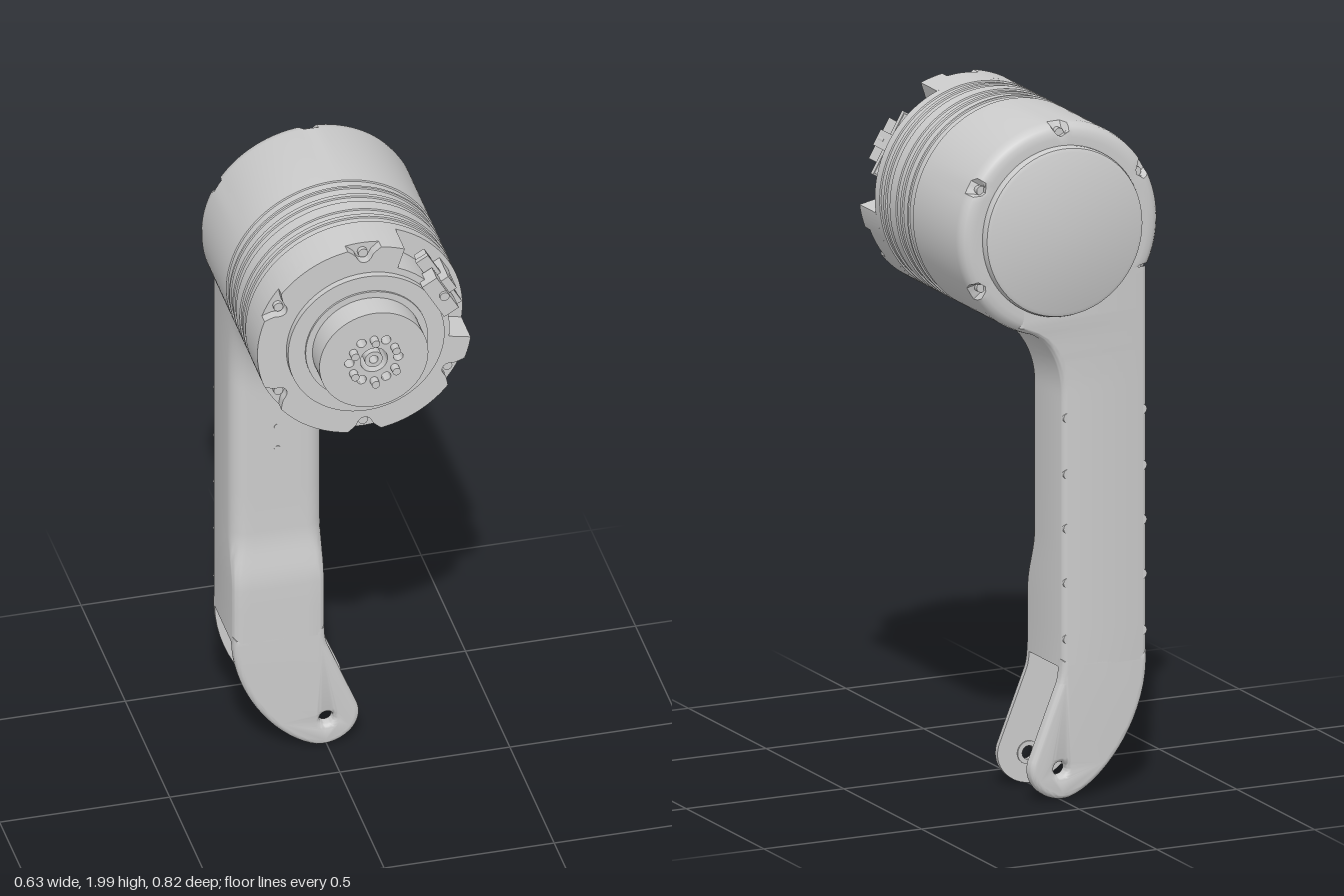
import * as THREE from 'three';
import { toCreasedNormals } from 'three/addons/utils/BufferGeometryUtils.js';

const material = new THREE.MeshStandardMaterial({ color: 0xcccccc });
const AXIS_Y = 1.685, R = 0.315;
const rad = THREE.MathUtils.degToRad;
const clamp = THREE.MathUtils.clamp;

function add(parent, name, geometry, x = 0, y = 0, z = 0) {
  const mesh = new THREE.Mesh(geometry, material);
  mesh.name = name;
  mesh.position.set(x, y, z);
  parent.add(mesh);
  return mesh;
}

// cylinder lying along z
const rod = (r, length, sides = 20) => new THREE.CylinderGeometry(r, r, length, sides).rotateX(Math.PI / 2);

function circlePath(r, x = 0, y = 0) {
  return new THREE.Path().absarc(x, y, r, 0, Math.PI * 2, true);
}

function slab(shape, z0, z1, curveSegments = 24) {
  const g = new THREE.ExtrudeGeometry(shape, { depth: z1 - z0, bevelEnabled: false, curveSegments });
  return toCreasedNormals(g.translate(0, 0, z0), 0.5);
}

// turned motor housing: [radius, z] from the back cap to the front
function housingGeometry() {
  const profile = [
    [0, -0.412], [0.235, -0.412], [0.246, -0.407], [0.25, -0.396], [0.25, -0.385],
    [0.272, -0.385], [0.29, -0.383], [0.303, -0.376], [0.312, -0.364], [0.315, -0.345], [0.315, -0.07],
  ];
  // shallow grooves and raised bands
  for (const [a, b] of [[-0.07, -0.04], [-0.032, 0], [0.014, 0.04], [0.08, 0.106], [0.12, 0.145]])
    profile.push([R, a], [0.311, a + 0.002], [0.311, b - 0.002], [R, b]);
  profile.push([R, 0.176], [0.22, 0.176]);
  const g = new THREE.LatheGeometry(profile.map(([r, z]) => new THREE.Vector2(r, z)), 144).rotateX(Math.PI / 2);
  // six screw pockets cut into the rear edge
  const p = g.attributes.position;
  for (let i = 0; i < p.count; i++) {
    const x = p.getX(i), y = p.getY(i), r = Math.hypot(x, y);
    if (r < 0.28 || p.getZ(i) > -0.35) continue;
    const step = Math.PI / 3;
    const off = Math.abs(((Math.atan2(y, x) + Math.PI * 2 + rad(0)) % step) - step / 2);
    if (off < 0.075) {
      const s = (0.276 + 0.02 * (off / 0.075) ** 2) / r;
      p.setXY(i, x * s, y * s);
    }
  }
  return toCreasedNormals(g, 0.5);
}

// flange outline with the connector cut-out and, optionally, six screw notches
function flangeShape(notched) {
  const points = [];
  for (let deg = 0; deg < 360; deg++) {
    let r = R;
    if (deg < 68 || deg > 352) r = 0.25;
    else if (notched) {
      const off = Math.abs(((deg % 60) - 30)) * rad(1) * 0.29;
      if (off < 0.022) r = 0.288 - Math.sqrt(0.022 ** 2 - off ** 2);
      else if (off < 0.045) r = 0.288 + 0.027 * (off - 0.022) / 0.023;
    }
    points.push(new THREE.Vector2(r * Math.cos(rad(deg)), r * Math.sin(rad(deg))));
  }
  return new THREE.Shape(points);
}

// rounded rectangle in x and z, with the front edge divided for the fillet
function legSection(y) {
  const t = clamp((y - 1.2) / 0.2, 0, 1);
  const xl = -0.275, xr = -0.005 + 0.14 * (1 - Math.sqrt(1 - t * t));
  const up = THREE.MathUtils.smoothstep(y, 0.58, 0.76);
  const zf = -0.14 - 0.025 * up, zb = -0.386, rf = 0.022 + 0.026 * up, rb = 0.024;
  const ring = [];
  const corner = (x, z, r, start) => {
    for (let k = 0; k <= 6; k++) {
      const a = rad(start + k * 15);
      ring.push([x + r * Math.cos(a), z + r * Math.sin(a)]);
    }
  };
  corner(xr - rf, zf - rf, rf, 0);
  for (let k = 1; k < 8; k++) ring.push([xr - rf + (xl - xr + 2 * rf) * k / 8, zf]);
  corner(xl + rf, zf - rf, rf, 90);
  corner(xl + rb, zb + rb, rb, 180);
  corner(xr - rb, zb + rb, rb, 270);
  // the front swells into the housing as it gets close to it
  return ring.map(([x, z]) => {
    const near = clamp(1 - (Math.hypot(x, y - AXIS_Y) - R) / 0.17, 0, 1);
    const weight = clamp((z - zb - rb) / (zf - zb - rb), 0, 1);
    return [x, y, z + weight * 0.08 * (1 - Math.sqrt(1 - near * near))];
  });
}

function legGeometry() {
  const levels = [0.395, 0.5, 0.58];
  for (let y = 0.61; y < 0.77; y += 0.03) levels.push(y);
  levels.push(0.9, 1.05);
  for (let y = 1.15; y < 1.56; y += 0.02) levels.push(y);
  const rings = levels.map(legSection), n = rings[0].length;
  const index = [];
  for (let j = 0; j < rings.length - 1; j++)
    for (let i = 0; i < n; i++) {
      const a = j * n + i, b = j * n + (i + 1) % n;
      index.push(a, a + n, b, a + n, b + n, b);
    }
  const centre = rings.length * n;
  for (let i = 0; i < n; i++) index.push(centre, i, (i + 1) % n);
  const g = new THREE.BufferGeometry();
  g.setAttribute('position', new THREE.Float32BufferAttribute([...rings.flat(2), -0.14, 0.395, -0.26], 3));
  g.setIndex(index);
  return toCreasedNormals(g, 0.6);
}

// fork cheek, rounded on its outer side only (side 1 = front, -1 = back)
function cheekGeometry(side) {
  const s = new THREE.Shape();
  s.moveTo(-0.275, 0.42);
  s.lineTo(-0.275, 0.39);
  s.bezierCurveTo(-0.27, 0.2, -0.13, 0.04, -0.03, 0.012);
  s.bezierCurveTo(0.04, -0.002, 0.115, 0.06, 0.092, 0.13);
  s.lineTo(0.005, 0.345);
  s.quadraticCurveTo(-0.005, 0.37, -0.005, 0.42);
  s.holes.push(circlePath(0.02, 0, 0.1));
  const T = 0.03, b = 0.018;
  const g = new THREE.ExtrudeGeometry(s, {
    depth: 2 * (T - b), bevelThickness: b, bevelSize: b, bevelOffset: -b, bevelSegments: 5, curveSegments: 16,
  }).translate(0, 0, b - T);
  const p = g.attributes.position;
  for (let i = 0; i < p.count; i++) p.setZ(i, side > 0 ? Math.max(p.getZ(i), 0) : Math.min(p.getZ(i), 0));
  return toCreasedNormals(g, 0.6);
}

export function createModel() {
  const model = new THREE.Group();
  const motor = new THREE.Group();
  motor.name = 'motor';
  motor.position.y = AXIS_Y;
  model.add(motor);

  // housing and front flange
  add(motor, 'housing', housingGeometry());
  add(motor, 'flangeBase', slab(flangeShape(false), 0.174, 0.25));
  add(motor, 'flangeFace', slab(flangeShape(true), 0.25, 0.28));
  add(motor, 'frontRing', rod(0.23, 0.04, 72), 0, 0, 0.28);
  add(motor, 'hubStep', rod(0.18, 0.02, 64), 0, 0, 0.296);

  // output hub with a centre bore, bolt holes and pins
  const hub = new THREE.Shape().absarc(0, 0, 0.16, 0, Math.PI * 2, false);
  hub.holes.push(circlePath(0.04));
  for (let i = 0; i < 6; i++) {
    const a = rad(i * 60), c = Math.cos(a), s = Math.sin(a);
    hub.holes.push(circlePath(0.014, 0.072 * c, 0.072 * s));
    const b = a + rad(30), x = Math.cos(b), y = Math.sin(b);
    add(motor, 'hubPin', rod(0.012, 0.05), 0.07 * x, 0.07 * y, 0.385);
    add(motor, 'flangeScrew', rod(0.014, 0.03), 0.287 * x, 0.287 * y, 0.248);
    add(motor, 'rearScrew', rod(0.014, 0.02), 0.285 * x, 0.285 * y, -0.36);
  }
  add(motor, 'hub', slab(hub, 0.3, 0.385, 32));
  const bushing = new THREE.Shape().absarc(0, 0, 0.026, 0, Math.PI * 2, false);
  bushing.holes.push(circlePath(0.013));
  add(motor, 'hubBushing', slab(bushing, 0.3, 0.383));

  // connector sitting in the flange cut-out
  const connector = new THREE.Group();
  connector.name = 'connector';
  connector.rotation.z = rad(30);
  motor.add(connector);
  add(connector, 'connectorClamp', new THREE.BoxGeometry(0.05, 0.13, 0.055), 0.25, 0, 0.278);
  add(connector, 'connectorScrew', rod(0.014, 0.012), 0.262, 0, 0.308);
  add(connector, 'connectorPost', new THREE.BoxGeometry(0.06, 0.05, 0.1), 0.27, 0, 0.225);
  add(connector, 'connectorBoard', new THREE.BoxGeometry(0.04, 0.2, 0.015), 0.265, 0, 0.232);
  for (const side of [-1, 1])
    add(connector, 'connectorPlug', new THREE.BoxGeometry(0.035, 0.04, 0.035), 0.265, side * 0.075, 0.212);

  // leg with its forked foot
  add(model, 'leg', legGeometry());
  add(model, 'frontCheek', cheekGeometry(1), 0, 0, -0.17);
  add(model, 'backCheek', cheekGeometry(-1), 0, 0, -0.356);
  add(model, 'forkTab', new THREE.BoxGeometry(0.05, 0.23, 0.05), -0.165, 0.295, -0.26);
  const washer = new THREE.Shape().absarc(0, 0.1, 0.034, 0, Math.PI * 2, false);
  washer.holes.push(circlePath(0.02, 0, 0.1));
  add(model, 'frontWasher', slab(washer, -0.174, -0.168));
  add(model, 'backWasher', slab(washer, -0.358, -0.352));

  // screws along both rear edges, and small plugs on the front
  for (const y of [0.48, 0.645, 0.805, 0.965, 1.13])
    for (const x of [-0.257, -0.023]) add(model, 'legScrew', rod(0.015, 0.02), x, y, -0.374);
  for (const y of [1.04, 1.115, 1.29]) add(model, 'legPlug', rod(0.01, 0.02, 12), -0.14, y, y > 1.2 ? -0.165 : -0.174);
  return model;
}
